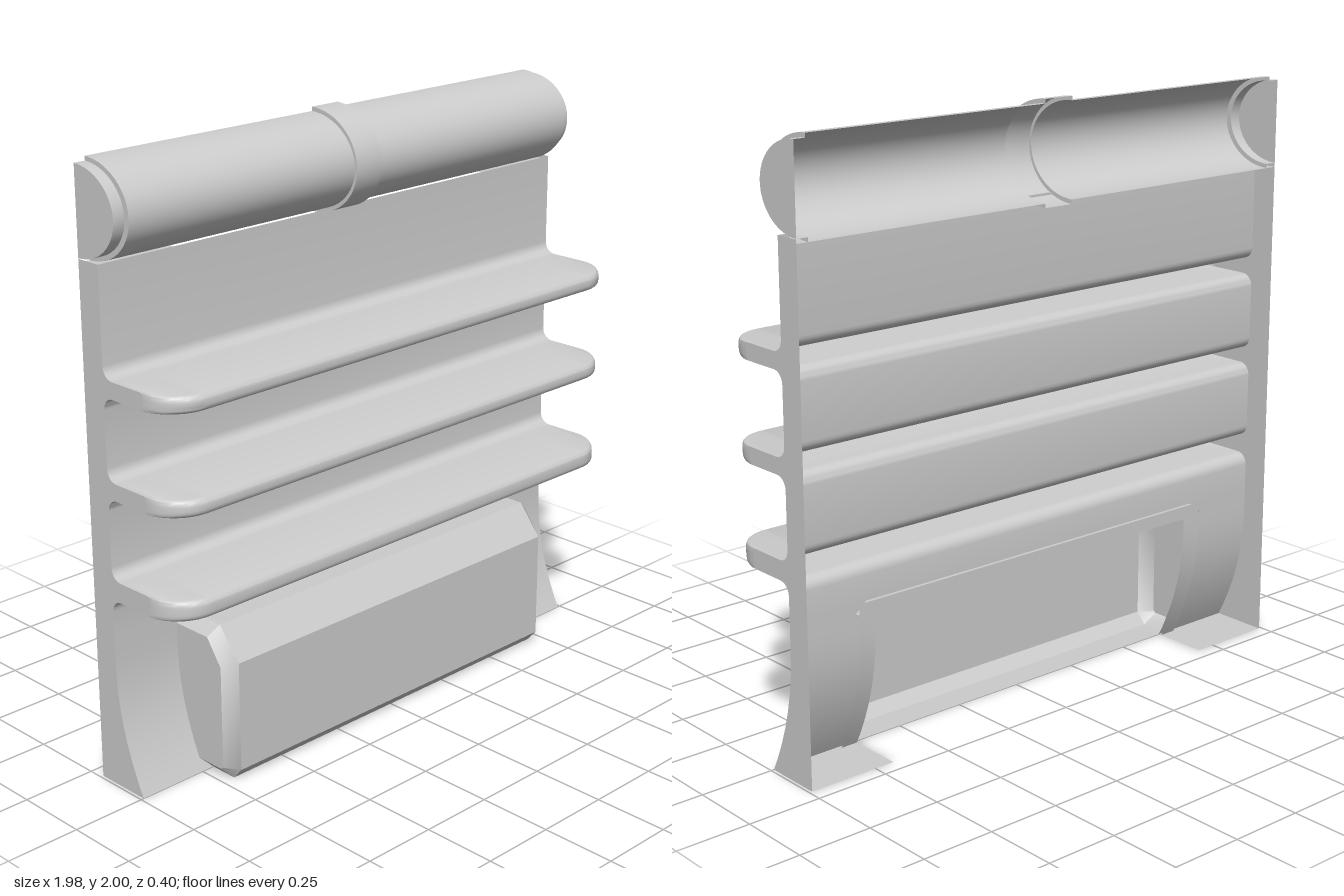
import * as THREE from 'three';
import { toCreasedNormals } from 'three/addons/utils/BufferGeometryUtils.js';

const grey = new THREE.MeshStandardMaterial({ color: 0xcccccc, side: THREE.DoubleSide });
grey.name = 'light grey';

const HALF = 0.99;      // half width of the panel
const BACK = -0.2;      // open back plane
const FACE = -0.11;     // front face of the panel
const DEPTH = 0.2;      // front edge of the shelves
const CORNER = 0.13;    // plan radius of the shelf corners
const FILLET = 0.04;
const SHELVES = [[0.64, 0.705], [0.97, 1.025], [1.29, 1.345]];

function mesh(geometry, name) {
  const m = new THREE.Mesh(geometry, grey);
  m.name = name;
  return m;
}

// Skin through equal-length loops of [x, y, z]; loops run along +x, points run upward.
function loft(loops, name, keep = () => true) {
  const n = loops[0].length;
  const index = [];
  for (let j = 0; j < loops.length - 1; j++) {
    for (let i = 0; i < n - 1; i++) {
      if (!keep(loops[j][i], loops[j + 1][i + 1])) continue;
      const a = j * n + i, b = a + n;
      index.push(a, b, b + 1, a, b + 1, a + 1);
    }
  }
  const g = new THREE.BufferGeometry();
  g.setAttribute('position', new THREE.Float32BufferAttribute(loops.flat(2), 3));
  g.setIndex(index);
  return mesh(toCreasedNormals(g, 0.6), name);
}

// Flat wall in the plane x, outlined by [z, y] points and facing away from the middle.
function sideWall(points, x, name) {
  const s = Math.sign(x);
  const shape = new THREE.Shape(points.map(([z, y]) => new THREE.Vector2(-s * z, y)));
  const g = new THREE.ShapeGeometry(shape);
  g.rotateY(s * Math.PI / 2).translate(x, 0, 0);
  return mesh(g, name);
}

function arc(cz, cy, r, from, to, steps = 6) {
  return Array.from({ length: steps + 1 }, (_, i) => {
    const t = THREE.MathUtils.degToRad(from + (to - from) * i / steps);
    return [cz + r * Math.cos(t), cy + r * Math.sin(t)];
  });
}

// Flared foot of the panel profile
const footZ = y => y >= 0.42 ? FACE : FACE * (1 - (1 - y / 0.42) ** 2);
const foot = [0, 0.04, 0.1, 0.16, 0.22, 0.28, 0.35, 0.42, 0.47, 0.515].map(y => [footZ(y), y]);

// Whole panel profile as [z, y], running up through the hollow shelves
const profile = [...foot];
for (const [low, high] of SHELVES) {
  const z = FACE + FILLET, r = 0.02;
  profile.push(
    ...arc(z, low - FILLET, FILLET, 180, 90),
    ...arc(DEPTH - r, low + r, r, -90, 0, 4),
    ...arc(DEPTH - r, high - r, r, 0, 90, 4),
    ...arc(z, high + FILLET, FILLET, 270, 180));
}
profile.push([FACE, 1.69]);

// Panel section at x, with the shelf depth reduced around the rounded corners
function sectionAt(x) {
  const root = FACE + FILLET;
  const u = Math.max(0, Math.abs(x) - (HALF - CORNER));
  const front = DEPTH - CORNER + Math.sqrt(Math.max(0, CORNER * CORNER - u * u));
  const k = (front - root) / (DEPTH - root);
  return profile.map(([z, y], i) =>
    i >= foot.length && z > root ? [root + (z - root) * k, y] : [z, y]);
}

const HOLE_X = 0.68, HOLE_Y = 0.47;
const outsideHole = (a, b) => !(Math.max(Math.abs(a[0]), Math.abs(b[0])) <= HOLE_X + 1e-6 && b[1] <= HOLE_Y + 1e-6);
const mirrored = xs => [...xs.map(x => -x).reverse(), ...xs];

function panel() {
  const group = new THREE.Group();
  group.name = 'shelfPanel';
  const xs = [HOLE_X];
  for (let i = 0; i <= 10; i++) xs.push(HALF - CORNER + CORNER * Math.sin(i / 10 * Math.PI / 2));
  const loops = mirrored(xs).map(x => sectionAt(x).map(([z, y]) => [x, y, z]));
  group.add(loft(loops, 'panelFace', outsideHole));

  for (const s of [-1, 1]) {
    group.add(sideWall([[BACK, 0], ...sectionAt(HALF), [BACK, 1.69]], s * HALF, 'panelSide'));
    // Base plates and the small ledges under the roll
    for (const [y, front, name] of [[0, 0, 'basePlate'], [1.678, FACE, 'topLedge']]) {
      const g = new THREE.PlaneGeometry(HALF - HOLE_X, front - BACK);
      g.rotateX(Math.PI / 2).translate(s * (HALF + HOLE_X) / 2, y, (front + BACK) / 2);
      group.add(mesh(g, name));
    }
  }
  return group;
}

function bumper() {
  const group = new THREE.Group();
  group.name = 'bumper';
  // Full profile and the inset profile of its chamfered ends, as [z, y]
  const full = [[0, 0], [0.1, 0], [0.135, 0.04], [0.135, 0.41], [0.05, 0.515], [FACE - 0.012, 0.515]];
  const inset = [[footZ(0.04), 0.04], [0.085, 0.04], [0.095, 0.05], [0.095, 0.395], [0.035, 0.48], [FACE - 0.012, 0.48]];
  const place = (pts, x) => pts.map(([z, y]) => [x, y, z]);
  group.add(loft([place(inset, -0.745), place(full, -0.705), place(full, 0.705), place(inset, 0.745)], 'bumperShell'));

  const seam = foot.filter(([, y]) => y > 0.05 && y < 0.475).reverse();
  for (const s of [-1, 1]) group.add(sideWall([...inset, ...seam], s * 0.745, 'bumperEnd'));

  // Flange around the opening behind the panel
  const flange = mirrored([HOLE_X, 0.74]).map(x => foot.map(([z, y]) => [x, y, z - 0.012]));
  group.add(loft(flange, 'bumperFlange', outsideHole));
  return group;
}

function roll() {
  const group = new THREE.Group();
  group.name = 'topRoll';
  const END = [0.17, 0.14], MAIN = [0.19, 0.154], STRAP = [0.2, 0.168];
  const half = ([rz, ry]) => Array.from({ length: 33 }, (_, i) => {
    const t = (i / 32 - 0.5) * Math.PI;
    return [BACK + rz * Math.cos(t), 1.832 + ry * Math.sin(t)];
  });
  const skin = (stations, name) =>
    loft(stations.map(([x, r]) => half(r).map(([z, y]) => [x, y, z])), name);

  group.add(skin([[-HALF, END], [-0.95, END], [-0.95, MAIN], [-0.055, MAIN]], 'rightRoll'));
  group.add(skin([[0.055, MAIN], [0.95, MAIN], [0.95, END], [HALF, END]], 'leftRoll'));
  group.add(skin([[-0.055, MAIN], [-0.055, STRAP], [0.055, STRAP], [0.055, MAIN]], 'centreStrap'));
  for (const s of [-1, 1]) group.add(sideWall(half(END), s * HALF, 'rollEnd'));
  return group;
}

export function createModel() {
  const model = new THREE.Group();
  model.name = 'shelvedPanel';
  model.add(panel(), bumper(), roll());
  return model;
}
